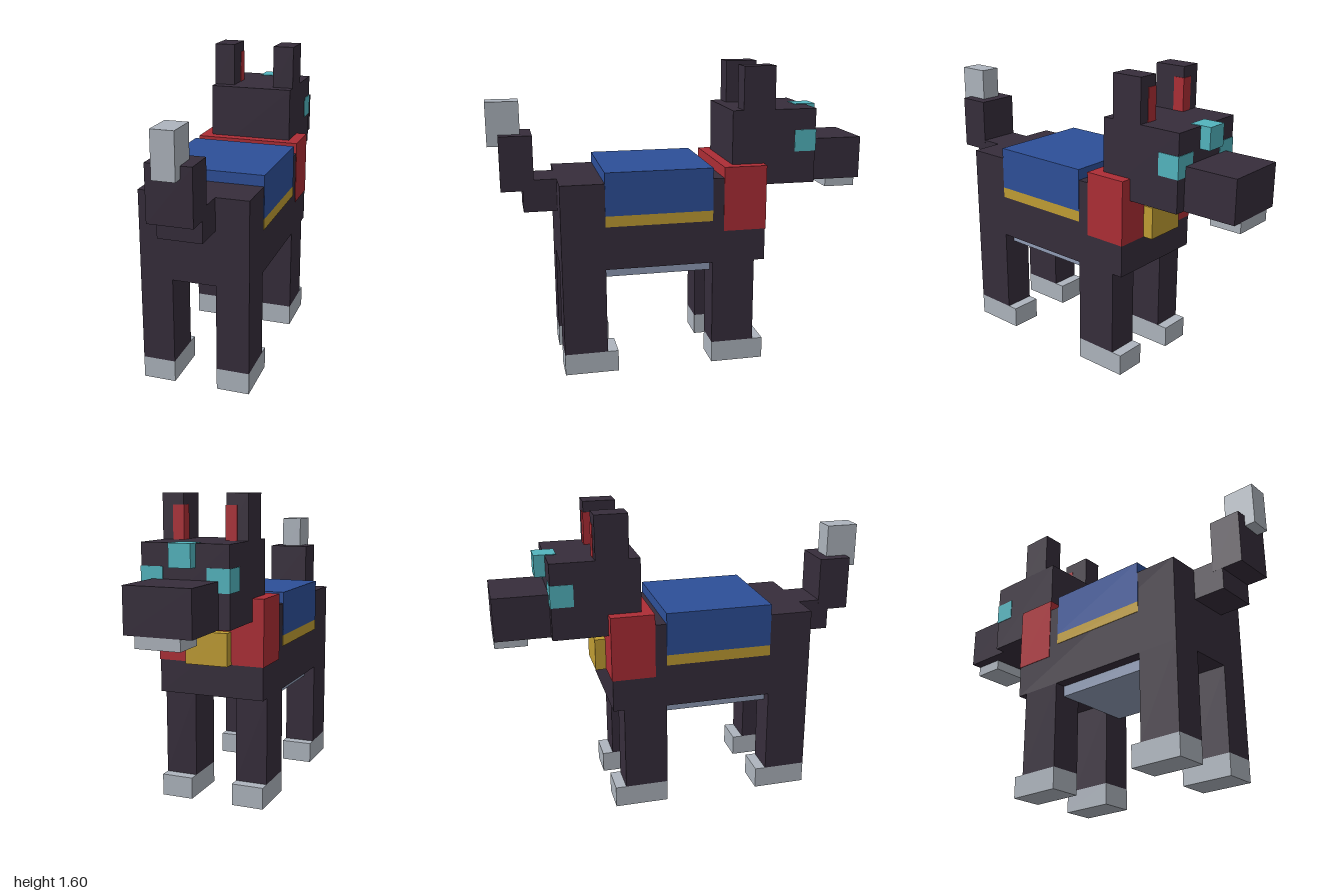
import * as THREE from 'three';

function paint(name, color) {
  const m = new THREE.MeshStandardMaterial({ color });
  m.name = name;
  return m;
}

export function createModel() {
  const fur = paint('dark fur', 0x362d3b);
  const grey = paint('light grey', 0xadb4bd);
  const slate = paint('belly blue grey', 0x909cb6);
  const blue = paint('blanket blue', 0x2d4f98);
  const red = paint('red', 0xac2d35);
  const gold = paint('gold', 0xbf9c33);
  const teal = paint('teal', 0x52b4be);

  const model = new THREE.Group();
  model.name = 'blockyWolf';
  const E = 0.003; // keeps coverings just proud of what they cover

  // Box given by its extents on each axis
  function box(name, mat, x0, x1, y0, y1, z0, z1) {
    const mesh = new THREE.Mesh(new THREE.BoxGeometry(x1 - x0, y1 - y0, z1 - z0), mat);
    mesh.position.set((x0 + x1) / 2, (y0 + y1) / 2, (z0 + z1) / 2);
    mesh.name = name;
    model.add(mesh);
  }
  // Box centred on x
  const mid = (name, mat, w, ...r) => box(name, mat, -w, w, ...r);
  // Mirrored pair of boxes
  function pair(name, mat, x0, x1, ...r) {
    box(name + 'Left', mat, x0, x1, ...r);
    box(name + 'Right', mat, -x1, -x0, ...r);
  }

  // Torso
  mid('body', fur, 0.285, 0.573, 1.03, -0.427, 0.657);
  mid('belly', slate, 0.225, 0.515, 0.575, -0.14, 0.43);

  // Blanket with gold trim
  mid('blanket', blue, 0.285 + E, 0.86, 1.088, -0.14, 0.428);
  mid('blanketTrim', gold, 0.285 + E, 0.803, 0.86, -0.14, 0.428);

  // Collar and tag
  mid('collar', red, 0.285 + E, 0.745, 1.088, -0.427 - E, -0.2);
  mid('collarTag', gold, 0.114, 0.745, 0.915, -0.486, -0.42);

  // Legs and paws, toes pointing to -z
  for (const [name, back, front] of [['foreLeg', -0.14, -0.37], ['hindLeg', 0.657, 0.43]]) {
    pair(name, fur, 0.114, 0.285, 0.115, 0.575, front, back);
    pair(name + 'Paw', grey, 0.114, 0.285, 0, 0.115, front - 0.057, back);
  }

  // Head
  mid('head', fur, 0.228, 0.973, 1.372, -0.715, -0.257);
  mid('muzzle', fur, 0.171, 0.973, 1.2, -1, -0.71);
  mid('chin', grey, 0.114, 0.916, 0.973, -1, -0.83);
  pair('eye', teal, 0.114, 0.228 + E, 1.145, 1.26, -0.715 - E, -0.6);
  mid('foreheadGem', teal, 0.057, 1.26, 1.372 + E, -0.772, -0.657);

  // Ears with red inner corners
  pair('ear', fur, 0.114, 0.228, 1.37, 1.6, -0.486, -0.315);
  pair('innerEar', red, 0.114 - E, 0.171, 1.37, 1.543, -0.486 - E, -0.429);

  // Stepped tail
  mid('tailBase', fur, 0.114, 0.86, 1.03, 0.65, 0.83);
  mid('tailUpright', fur, 0.1145, 0.973, 1.26, 0.772, 0.943);
  mid('tailTip', grey, 0.057, 1.2, 1.43, 0.83, 1);

  return model;
}
